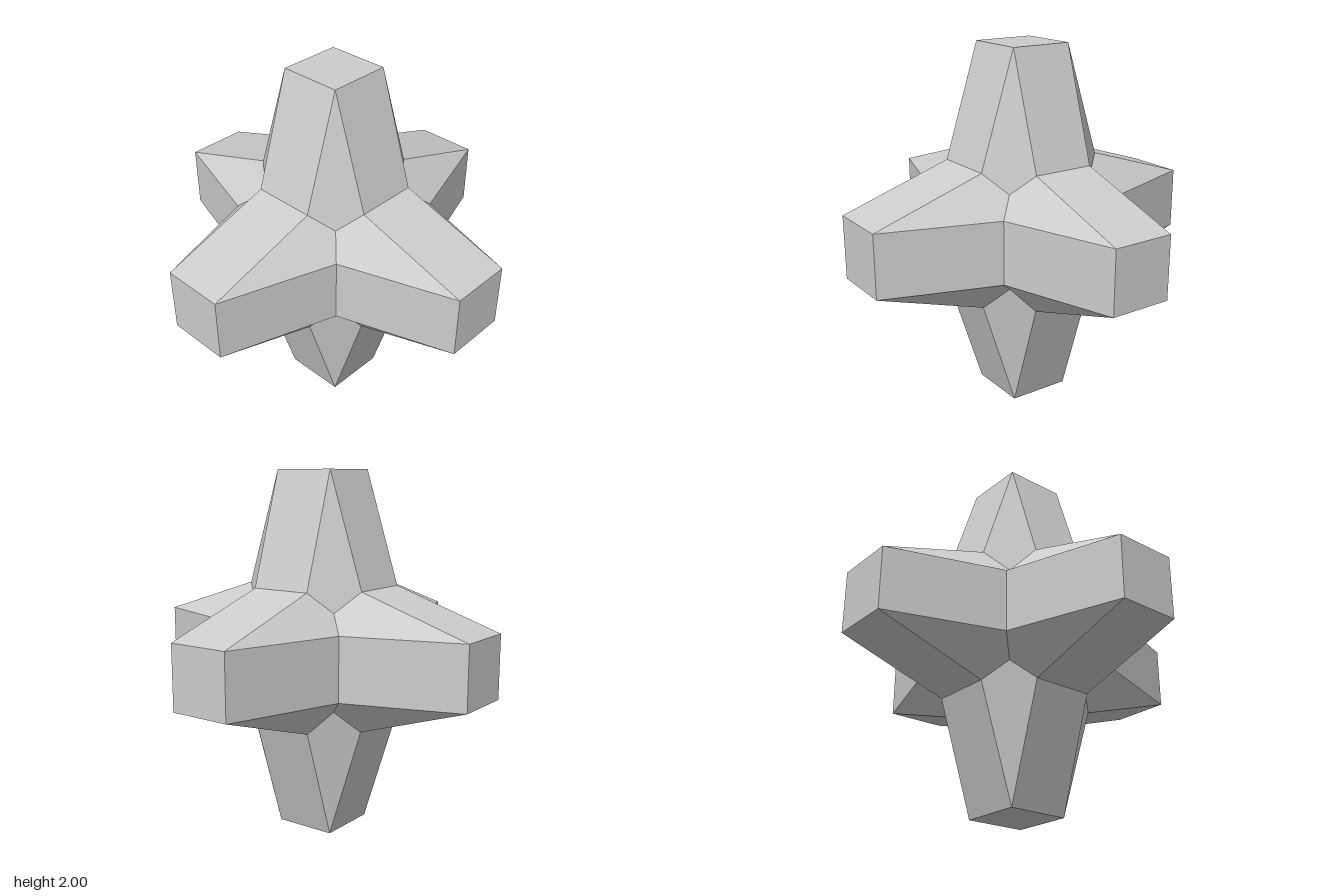
import * as THREE from 'three';

const TIP = 0.174;   // half width of each arm's end
const ROOT = 0.376;  // where neighbouring arms meet
const NOTCH = 0.264; // inner corner between three arms

// Arm along +y, listed as flat-shaded quads
function armGeometry() {
  const positions = [], normals = [];
  const addQuad = (a, b, c, d) => {
    const normal = c.clone().sub(a).cross(d.clone().sub(b)).normalize();
    for (const p of [a, b, c, a, c, d]) {
      positions.push(p.x, p.y, p.z);
      normals.push(normal.x, normal.y, normal.z);
    }
  };
  const up = new THREE.Vector3(0, 1, 0);
  const turn = (x, y, z, i) => new THREE.Vector3(x, y, z).applyAxisAngle(up, i * Math.PI / 2);
  const tip = [];
  for (let i = 0; i < 4; i++) {
    const tipLeft = turn(-TIP, 1, TIP, i);
    const tipRight = turn(TIP, 1, TIP, i);
    const rootLeft = turn(-TIP, ROOT, ROOT, i);
    const rootRight = turn(TIP, ROOT, ROOT, i);
    const notch = turn(NOTCH, NOTCH, NOTCH, i);
    const nextRoot = turn(ROOT, ROOT, TIP, i);
    addQuad(tipLeft, rootLeft, rootRight, tipRight); // tapered side
    addQuad(tipRight, rootRight, notch, nextRoot);   // kite-shaped corner
    tip.push(tipRight);
  }
  addQuad(...tip); // flat end
  const geometry = new THREE.BufferGeometry();
  geometry.setAttribute('position', new THREE.Float32BufferAttribute(positions, 3));
  geometry.setAttribute('normal', new THREE.Float32BufferAttribute(normals, 3));
  return geometry;
}

export function createModel() {
  const group = new THREE.Group();
  group.name = 'sixArmedStar';
  const grey = new THREE.MeshStandardMaterial({ color: 0xcccccc });
  grey.name = 'light grey';
  const geometry = armGeometry();
  const q = Math.PI / 2;
  // Six equal arms, one for each direction
  const arms = {
    topArm: [0, 0], bottomArm: [Math.PI, 0],
    frontArm: [q, 0], backArm: [-q, 0],
    leftArm: [0, -q], rightArm: [0, q],
  };
  for (const [name, [rx, rz]] of Object.entries(arms)) {
    const arm = new THREE.Mesh(geometry, grey);
    arm.name = name;
    arm.rotation.set(rx, 0, rz);
    arm.position.y = 1;
    group.add(arm);
  }
  return group;
}
